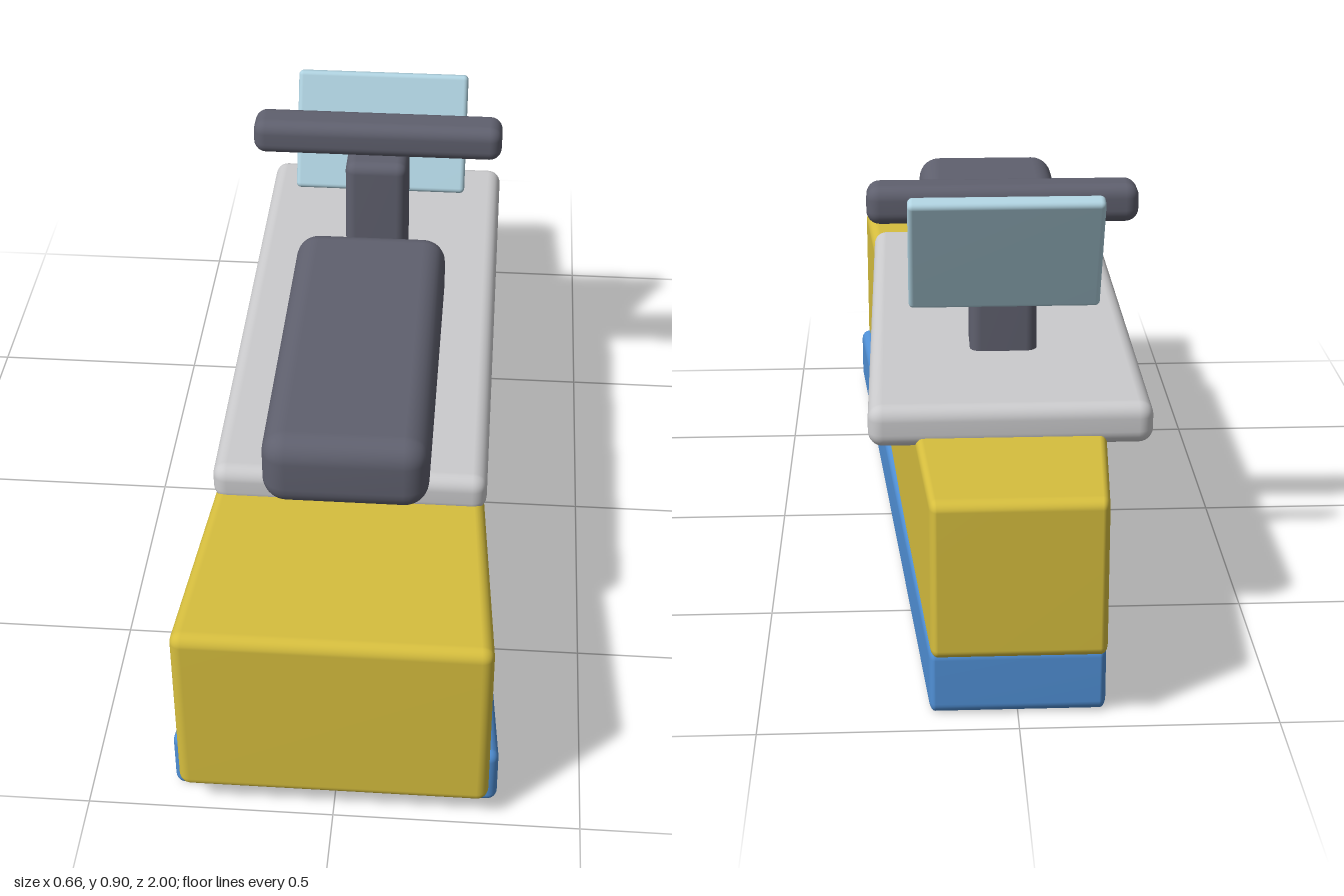
import * as THREE from 'three';
import { mergeVertices } from 'three/addons/utils/BufferGeometryUtils.js';
import { RoundedBoxGeometry } from 'three/addons/geometries/RoundedBoxGeometry.js';

const material = (name, color) => {
  const m = new THREE.MeshStandardMaterial({ color });
  m.name = name;
  return m;
};

// Softly rounded block between two corners; rule(v, t) may reshape it, t running 0 (back) to 1 (front)
function block(name, mat, [x0, y0, z0], [x1, y1, z1], radius, rule) {
  let geo = new RoundedBoxGeometry(x1 - x0, y1 - y0, z1 - z0, 4, radius);
  geo.translate((x0 + x1) / 2, (y0 + y1) / 2, (z0 + z1) / 2);
  geo.deleteAttribute('normal');
  geo.deleteAttribute('uv');
  geo = mergeVertices(geo, 1e-5);
  if (rule) {
    const pos = geo.attributes.position;
    const v = new THREE.Vector3();
    for (let i = 0; i < pos.count; i++) {
      v.fromBufferAttribute(pos, i);
      rule(v, (v.z - z0) / (z1 - z0));
      pos.setXYZ(i, v.x, v.y, v.z);
    }
  }
  geo.computeVertexNormals();
  const mesh = new THREE.Mesh(geo, mat);
  mesh.name = name;
  return mesh;
}

export function createModel() {
  const yellow = material('yellow hull', 0xd6be3e);
  const blue = material('blue keel', 0x5090d6);
  const grey = material('light grey deck', 0xcbcbcd);
  const dark = material('dark grey trim', 0x5f606e);
  const glass = material('pale blue glass', 0xb0d3e1);

  const model = new THREE.Group();
  model.name = 'watercraft';

  // Lower hull, narrowing to the back
  model.add(block('lowerHull', blue, [-0.332, 0, -0.942], [0.332, 0.138, 0.945], 0.022, (v, t) => {
    v.x *= THREE.MathUtils.lerp(0.51, 1, t);
  }));

  // Upper hull, narrowing to the back with its underside rising
  model.add(block('upperHull', yellow, [-0.314, 0.057, -1], [0.314, 0.47, 1], 0.025, (v, t) => {
    v.x *= THREE.MathUtils.lerp(0.53, 1, t);
    const up = (v.y - 0.057) / 0.413;
    v.y += 0.09 * (1 - t) * (1 - up);
  }));

  // Deck and seat
  model.add(block('deck', grey, [-0.284, 0.447, -0.685], [0.284, 0.534, 0.57], 0.03));
  model.add(block('seat', dark, [-0.168, 0.537, -0.11], [0.168, 0.7, 0.685], 0.05));

  // Steering column and handlebar
  model.add(block('steeringColumn', dark, [-0.071, 0.5, -0.357], [0.071, 0.804, -0.212], 0.024));
  model.add(block('handlebar', dark, [-0.285, 0.804, -0.336], [0.285, 0.886, -0.242], 0.028));

  // Windshield, its top leaning to the back
  const windshield = block('windshield', glass, [-0.2, -0.139, -0.018], [0.2, 0.139, 0.018], 0.011);
  windshield.position.set(0, 0.773, -0.428);
  windshield.rotation.x = -0.42;
  model.add(windshield);

  return model;
}
